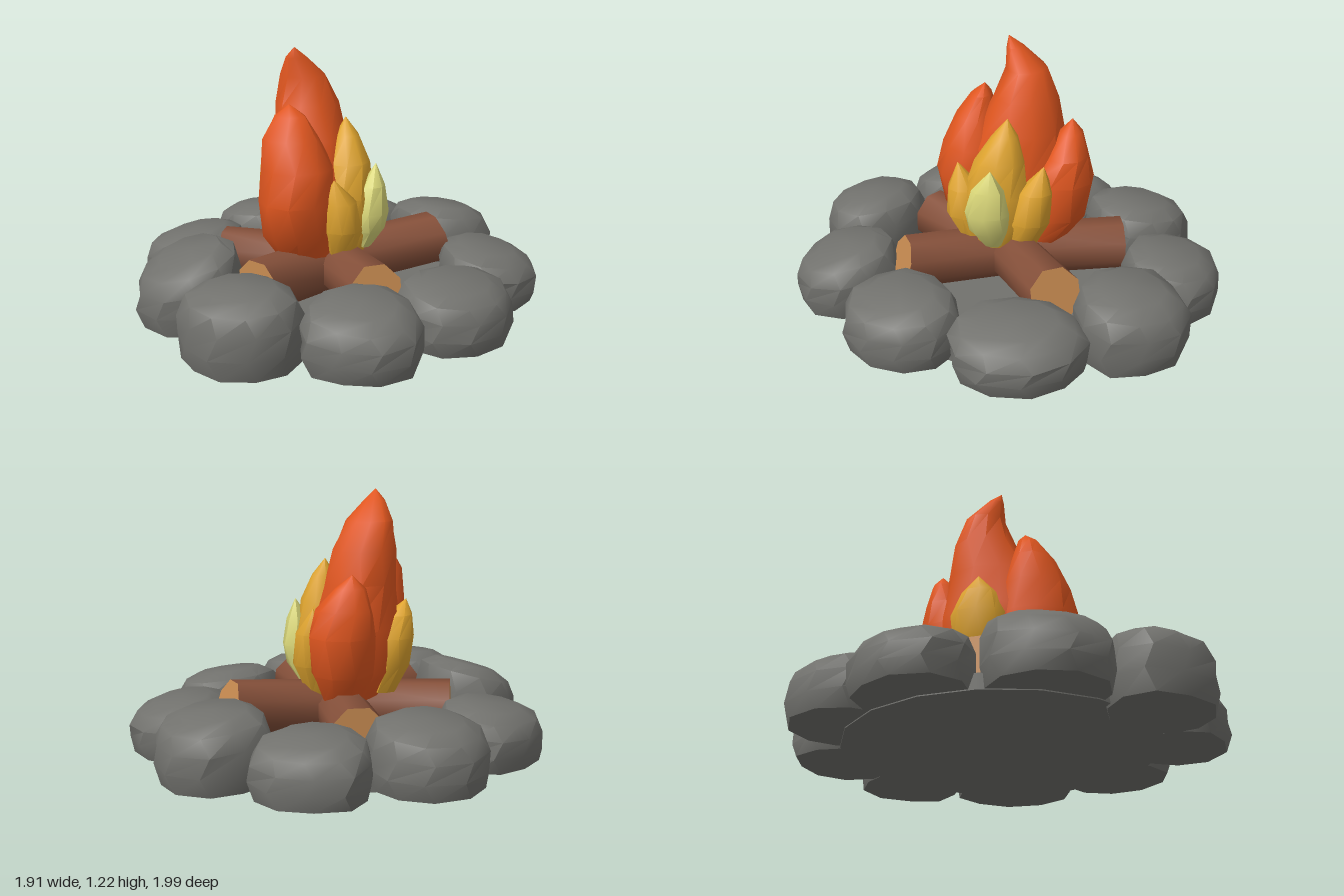
import * as THREE from 'three';
import { toCreasedNormals } from 'three/addons/utils/BufferGeometryUtils.js';

const paint = (name, color) => {
  const m = new THREE.MeshStandardMaterial({ color });
  m.name = name;
  return m;
};

// Small repeatable noise in -1..1
let seed = 7;
const noise = () => {
  seed = (seed * 16807) % 2147483647;
  return (seed / 2147483647) * 2 - 1;
};

// Closed skin through elliptical sections [y, centreX, centreZ, radiusX, radiusZ]
function loft(sections, sides, wobble, crease) {
  const pos = [], index = [];
  const lobes = Array.from({ length: sides }, () => 1 + noise() * wobble);
  sections.forEach(([y, cx, cz, rx = 0, rz = 0], i) => {
    for (let j = 0; j < sides; j++) {
      const a = ((j + (i % 2) * 0.25) / sides) * Math.PI * 2;
      const k = lobes[j] * (1 + noise() * wobble * 0.4);
      pos.push(cx + Math.sin(a) * rx * k, y, cz + Math.cos(a) * rz * k);
    }
  });
  for (let i = 0; i < sections.length - 1; i++) {
    for (let j = 0; j < sides; j++) {
      const n = (j + 1) % sides;
      const a = i * sides + j, b = i * sides + n, c = a + sides, d = b + sides;
      if (sections[i][3]) index.push(a, b, d);
      if (sections[i + 1][3]) index.push(a, d, c);
    }
  }
  const g = new THREE.BufferGeometry();
  g.setAttribute('position', new THREE.Float32BufferAttribute(pos, 3));
  g.setIndex(index);
  return toCreasedNormals(g, crease);
}

export function createModel() {
  const grey = paint('stone grey', 0x71716d);
  const bark = paint('bark brown', 0x85503a);
  const wood = paint('cut wood', 0xc68a50);
  const orange = paint('flame orange', 0xe0561f);
  const amber = paint('flame amber', 0xe0a52f);
  const pale = paint('flame pale yellow', 0xdcd97a);

  const model = new THREE.Group();
  const add = (name, geometry, material, parent = model) => {
    const mesh = new THREE.Mesh(geometry, material);
    mesh.name = name;
    parent.add(mesh);
    return mesh;
  };

  // Hearth floor
  add('floor', new THREE.CylinderGeometry(0.72, 0.72, 0.07, 18), grey).position.y = 0.045;

  // Ring of stones: x, z, half width, half depth, top height, outward slope of the top
  const stones = [
    [0, -0.765, 0.26, 0.235, 0.27, 0.06],
    [0.45, -0.615, 0.265, 0.25, 0.32, 0.06],
    [0.71, -0.17, 0.295, 0.235, 0.26, 0.06],
    [0.62, 0.38, 0.285, 0.24, 0.275, 0.06],
    [0.255, 0.745, 0.265, 0.235, 0.29, 0.08],
    [-0.255, 0.765, 0.27, 0.235, 0.325, 0.04],
    [-0.59, 0.385, 0.275, 0.24, 0.34, 0.12],
    [-0.715, -0.145, 0.275, 0.235, 0.27, 0.06],
    [-0.46, -0.56, 0.275, 0.245, 0.3, 0.06],
  ];
  const stoneProfile = [[0, 0], [0.93, 0], [1.01, 0.3], [1, 0.62], [0.87, 0.87], [0.58, 1], [0, 1.02]];
  const ring = new THREE.Group();
  ring.name = 'stoneRing';
  model.add(ring);
  stones.forEach(([x, z, w, d, top, slope], i) => {
    const base = i === 5 ? 0 : 0.015;
    const g = loft(stoneProfile.map(([r, t]) => [base + t * (top - base), 0, 0, r * w, r * d]), 10, 0.05, 0.75);
    const p = g.attributes.position;
    for (let v = 0; v < p.count; v++) {
      const t = (p.getY(v) - base) / (top - base);
      p.setY(v, p.getY(v) - slope * t * (p.getZ(v) / d) * 0.6);
    }
    const stone = add('stone', toCreasedNormals(g, 0.75), grey, ring);
    stone.position.set(x, 0, z);
    stone.rotation.y = Math.atan2(x, z);
  });

  // Logs radiating from under the fire: end x, end z, upward tilt, slant of the cut end
  const logs = [
    [-0.16, -0.51, 0.02, 0],
    [0.47, -0.29, 0.1, 0.22],
    [0.28, 0.47, 0.06, 0.22],
    [-0.26, 0.46, 0.03, 0],
    [-0.53, 0.03, 0.03, 0],
  ];
  const logGroup = new THREE.Group();
  logGroup.name = 'logs';
  model.add(logGroup);
  for (const [x, z, tilt, slant] of logs) {
    const length = Math.hypot(x, z - 0.02);
    const g = new THREE.CylinderGeometry(0.125, 0.125, length, 8);
    g.rotateY(Math.PI / 8).rotateX(Math.PI / 2).translate(0, 0, length / 2);
    const p = g.attributes.position;
    for (let v = 0; v < p.count; v++) {
      if (p.getZ(v) > length / 2) p.setZ(v, p.getZ(v) - slant * p.getY(v));
    }
    const log = add('log', toCreasedNormals(g, 0.9), [bark, wood, wood], logGroup);
    log.position.set(0, 0.195, 0.02);
    log.rotation.order = 'YXZ';
    log.rotation.set(-tilt, Math.atan2(x, z - 0.02), 0);
  }

  // Flame tongues, each a teardrop ending in a point
  const fire = new THREE.Group();
  fire.name = 'fire';
  model.add(fire);
  const tongue = (name, material, sections, sides = 9) =>
    add(name, loft(sections, sides, 0.035, 0.8), material, fire);

  tongue('mainFlame', orange, [
    [0.27, -0.08, 0, 0.12, 0.2], [0.4, -0.09, 0, 0.19, 0.27], [0.6, -0.09, 0, 0.205, 0.26],
    [0.8, -0.11, -0.02, 0.17, 0.2], [0.95, -0.13, -0.04, 0.15, 0.15],
    [1.08, -0.15, -0.035, 0.11, 0.095], [1.17, -0.168, 0.02, 0.05, 0.04], [1.22, -0.17, 0.05],
  ], 10);
  tongue('frontFlame', orange, [
    [0.27, -0.11, 0.14, 0.13, 0.12], [0.38, -0.125, 0.18, 0.175, 0.17], [0.55, -0.125, 0.2, 0.185, 0.19],
    [0.7, -0.13, 0.2, 0.175, 0.155], [0.83, -0.155, 0.2, 0.135, 0.1],
    [0.93, -0.165, 0.18, 0.075, 0.05], [0.98, -0.17, 0.165],
  ], 10);
  tongue('backFlame', orange, [
    [0.27, -0.05, -0.14, 0.1, 0.11], [0.4, -0.05, -0.19, 0.15, 0.155], [0.58, -0.05, -0.22, 0.16, 0.16],
    [0.7, -0.06, -0.25, 0.13, 0.1], [0.8, -0.09, -0.26, 0.07, 0.055], [0.86, -0.1, -0.265],
  ]);
  tongue('tallAmberFlame', amber, [
    [0.28, 0.08, 0.05, 0.08, 0.1], [0.4, 0.08, 0.05, 0.12, 0.15], [0.55, 0.08, 0.05, 0.125, 0.16],
    [0.7, 0.075, 0.04, 0.105, 0.12], [0.82, 0.07, 0.02, 0.055, 0.06], [0.9, 0.06, 0.01],
  ]);
  tongue('frontAmberFlame', amber, [
    [0.28, 0.07, 0.15, 0.06, 0.07], [0.42, 0.08, 0.2, 0.09, 0.1],
    [0.55, 0.07, 0.215, 0.08, 0.08], [0.66, 0.05, 0.25],
  ]);
  tongue('backAmberFlame', amber, [
    [0.28, 0.08, -0.06, 0.06, 0.07], [0.42, 0.105, -0.1, 0.09, 0.1],
    [0.57, 0.1, -0.13, 0.08, 0.08], [0.69, 0.09, -0.165],
  ]);
  tongue('sideAmberFlame', amber, [
    [0.29, -0.22, -0.03, 0.06, 0.07], [0.42, -0.26, -0.03, 0.085, 0.12], [0.55, -0.27, -0.03, 0.09, 0.13],
    [0.65, -0.29, -0.02, 0.06, 0.08], [0.72, -0.32, -0.01],
  ]);
  tongue('paleFlame', pale, [
    [0.3, 0.16, 0.06, 0.03, 0.04], [0.39, 0.185, 0.075, 0.07, 0.09], [0.48, 0.197, 0.08, 0.078, 0.105],
    [0.6, 0.2, 0.075, 0.055, 0.075], [0.7, 0.21, 0.06],
  ], 8);

  return model;
}
